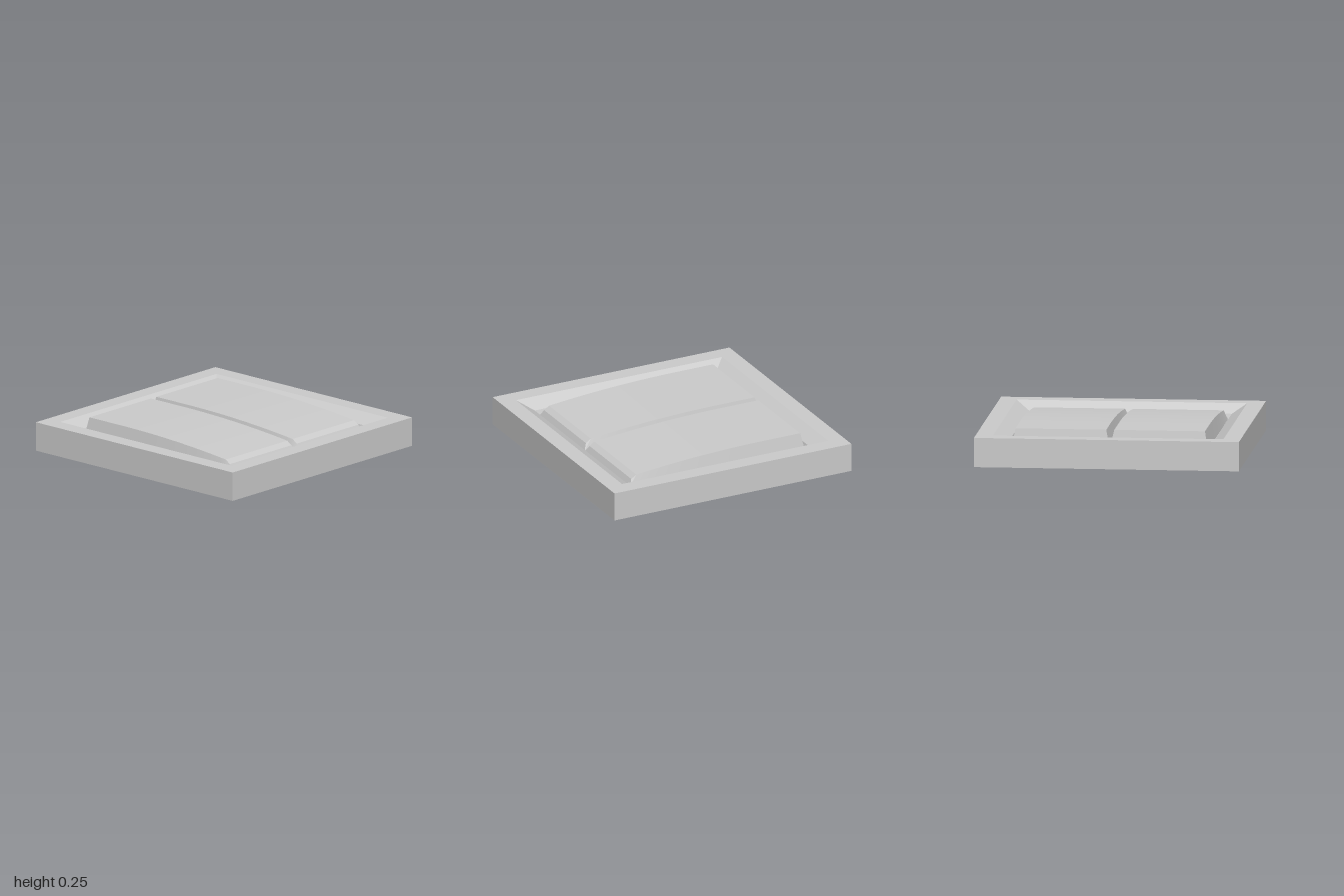
import * as THREE from 'three';
import { toCreasedNormals } from 'three/addons/utils/BufferGeometryUtils.js';

const FLOOR = 0.1;
const ROCKER_BASE = 0.12;

// Square frame with a bevelled recess, turned as a four-sided lathe
function frameGeometry() {
  const profile = [
    [0, 0], [1, 0], [1, 0.222], [0.87, 0.222],
    [0.765, 0.157], [0.745, FLOOR], [0, FLOOR],
  ].map(([half, y]) => new THREE.Vector2(half * Math.SQRT2, y));
  return new THREE.LatheGeometry(profile, 4, Math.PI / 4);
}

// Height of the pressed rocker: level at the back, curving down to the front
function rockerHeight(z) {
  if (z > 0.67) return 0.197 - (z - 0.67) * 0.65;
  const t = Math.max(0, z + 0.4);
  return 0.255 - 0.0505 * t * t;
}

// Rocker lofted along z from four-cornered sections with drafted sides
function rockerGeometry(side) {
  const steps = 28;
  const stations = [];
  for (let i = 0; i <= steps; i++) stations.push(-0.715 + (1.385 * i) / steps);
  stations.push(0.712);

  const x = [[0.0, 0.03], [0.74, 0.715]]; // [bottom, top] of inner and outer wall
  const [lo, hi] = side > 0 ? x : [x[1].map((v) => -v), x[0].map((v) => -v)];
  const positions = [];
  for (const z of stations) {
    const y = rockerHeight(z);
    const zb = (z * 0.74) / 0.714;
    positions.push(lo[0], ROCKER_BASE, zb, lo[1], y, z, hi[1], y, z, hi[0], ROCKER_BASE, zb);
  }

  const index = [];
  const quad = (a, b, c, d) => index.push(a, b, c, a, c, d);
  const last = (stations.length - 1) * 4;
  for (let s = 0; s < last; s += 4) {
    for (let j = 0; j < 4; j++) {
      const k = (j + 1) % 4;
      quad(s + j, s + 4 + j, s + 4 + k, s + k);
    }
  }
  quad(0, 1, 2, 3); // back wall
  quad(last, last + 3, last + 2, last + 1); // front wall

  const geometry = new THREE.BufferGeometry();
  geometry.setAttribute('position', new THREE.Float32BufferAttribute(positions, 3));
  geometry.setIndex(index);
  return toCreasedNormals(geometry, 0.3);
}

export function createModel() {
  const model = new THREE.Group();
  model.name = 'doubleRockerSwitch';

  const frame = new THREE.Mesh(
    frameGeometry(),
    new THREE.MeshStandardMaterial({ color: 0xcccccc, flatShading: true }),
  );
  frame.name = 'frame';
  model.add(frame);

  const material = new THREE.MeshStandardMaterial({ color: 0xcccccc });
  for (const side of [1, -1]) {
    const rocker = new THREE.Mesh(rockerGeometry(side), material);
    rocker.name = side > 0 ? 'leftRocker' : 'rightRocker';
    model.add(rocker);
  }
  return model;
}
